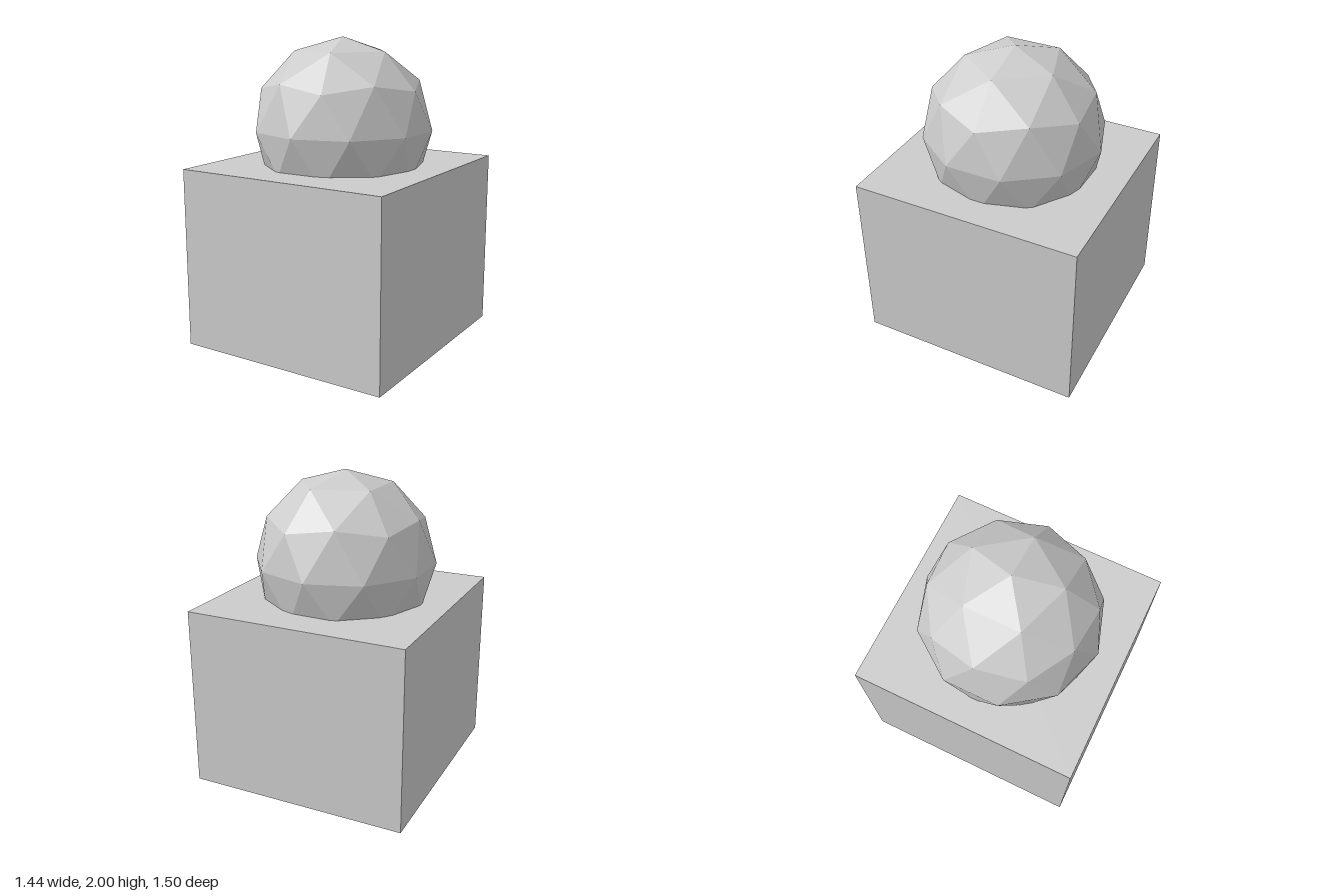
import * as THREE from 'three';

export function createModel() {
  const model = new THREE.Group();
  const material = new THREE.MeshStandardMaterial({ color: 0xcccccc, flatShading: true });

  // Block standing on the ground
  const height = 1.18;
  const base = new THREE.Mesh(new THREE.BoxGeometry(1.444, height, 1.5), material);
  base.name = 'baseBlock';
  base.position.y = height / 2;
  model.add(base);

  // Faceted ball sunk into the block, turned so one corner points straight up
  const radius = 0.59;
  const golden = (1 + Math.sqrt(5)) / 2;
  const ballGeometry = new THREE.IcosahedronGeometry(radius, 1);
  ballGeometry.rotateZ(-Math.atan(1 / golden));
  const ball = new THREE.Mesh(ballGeometry, material);
  ball.name = 'facetedBall';
  ball.position.y = 2 - radius;
  model.add(ball);

  return model;
}
